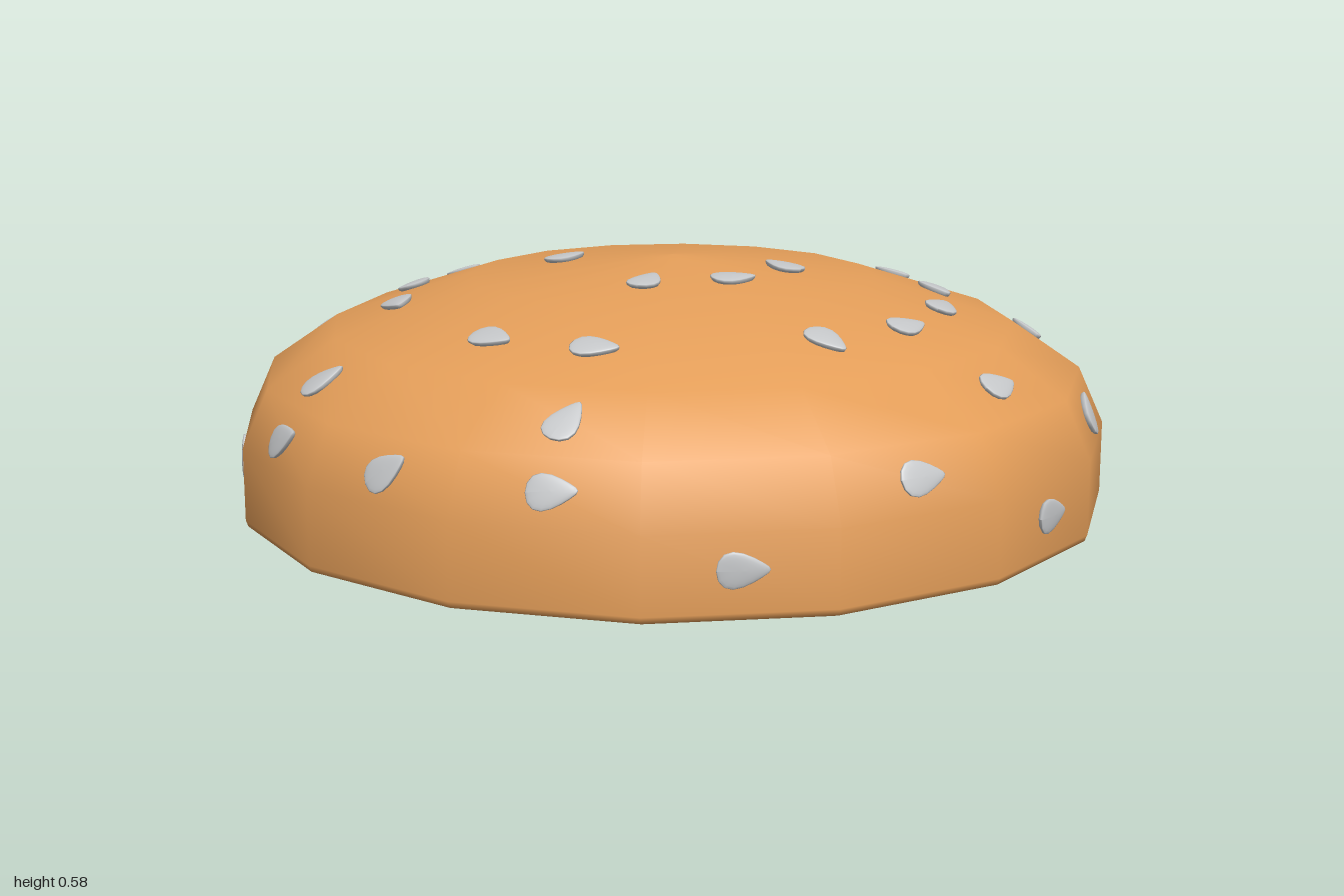
import * as THREE from 'three';

const bunMat = new THREE.MeshStandardMaterial({ color: 0xe49e59 });
bunMat.name = 'toasted bun';
const seedMat = new THREE.MeshStandardMaterial({ color: 0xc4c6c8 });
seedMat.name = 'sesame grey';

// Upper seeds: x, z, then the direction of the tip seen from above
const upperSeeds = [
  [-0.27, -0.82, 1, -0.35], [0.11, -0.885, -0.7, 0.9], [0.385, -0.775, 1, 0.7],
  [-0.565, -0.655, 1, -0.7], [-0.21, -0.615, 0.2, 1], [0.05, -0.64, 1, 0],
  [0.285, -0.565, 1, -0.5], [-0.415, -0.485, 1, -0.7], [-0.575, -0.275, -0.4, 1],
  [-0.165, -0.205, 1, -0.1], [-0.865, -0.06, 1, 0.6], [0.82, -0.275, -0.3, 1],
  [0.63, 0.05, 0, 1], [0.86, 0.06, 0, 1], [-0.6, 0.21, 0.3, 1],
  [-0.19, 0.18, 1, -0.7], [-0.01, 0.26, 1, 0.2], [0.18, 0.19, -0.2, -1],
  [0.565, 0.285, -0.2, 1], [0.77, 0.385, -0.3, 1], [-0.475, 0.42, 0.7, 0.8],
  [0.42, 0.47, 1, -0.8], [-0.64, 0.575, 1, -0.3], [-0.035, 0.63, 0.2, 1],
  [0.21, 0.6, 1, -0.2], [0.285, 0.81, 1, -0.3],
];

// Side seeds: x, z (azimuth only), y, then the tip's turn from sideways towards up
const sideSeeds = [
  [-0.05, 0.955, 0.255, 0], [0.33, 0.93, 0.115, 0], [-0.43, 0.88, 0.115, 0],
  [-0.72, 0.65, 0.255, 0.1], [0.64, 0.71, 0.25, 0.9], [-0.91, 0.32, 0.255, 0.7],
  [-0.965, -0.06, 0.25, 0.5], [-0.9, -0.43, 0.125, 1.9], [-0.63, -0.73, 0.25, 2.4],
  [0.43, -0.89, 0.115, 0.8],
];

// Sixteen-sided dome, turned so its corners sit slightly off the axes
function makeBun() {
  const profile = [
    [0, 0], [0.965, 0], [0.975, 0.001], [1.003, 0.011], [1.0086, 0.025], [1.0086, 0.19],
    [0.95, 0.32], [0.796, 0.425], [0.472, 0.53], [0.05, 0.574], [0, 0.577],
  ].map(([r, y]) => new THREE.Vector2(r, y));
  const bun = new THREE.Mesh(new THREE.LatheGeometry(profile, 16, 0.131), bunMat);
  bun.name = 'bunTop';
  return bun;
}

// Teardrop with a nearly flat top and an undercut belly: tip along +x, outward face along +y
function makeSeedGeometry() {
  const geo = new THREE.SphereGeometry(1, 16, 12);
  const p = geo.attributes.position;
  for (let i = 0; i < p.count; i++) {
    const x = p.getX(i), y = p.getY(i), z = p.getZ(i);
    const taper = 1 - 0.55 * x;
    p.setXYZ(i, 0.054 * x, (y > 0 ? 0.006 : 0.02) * y, 0.034 * z * taper);
  }
  geo.computeVertexNormals();
  return geo;
}

export function createModel() {
  const group = new THREE.Group();
  group.name = 'sesameBun';
  const bun = makeBun();
  group.add(bun);

  const seeds = new THREE.Group();
  seeds.name = 'sesameSeeds';
  group.add(seeds);
  const seedGeo = makeSeedGeometry();
  const up = new THREE.Vector3(0, 1, 0);
  const ray = new THREE.Raycaster();

  // Finds the crust along a ray and lays a seed flat on it
  function addSeed(from, dir, tipFor) {
    ray.set(from, dir.normalize());
    const hit = ray.intersectObject(bun)[0];
    if (!hit) return;
    const n = hit.face.normal.clone().normalize();
    const tip = tipFor(n).normalize();
    const side = new THREE.Vector3().crossVectors(tip, n);
    const seed = new THREE.Mesh(seedGeo, seedMat);
    seed.name = 'seed';
    seed.quaternion.setFromRotationMatrix(new THREE.Matrix4().makeBasis(tip, n, side));
    seed.position.copy(hit.point).addScaledVector(n, 0.009);
    seeds.add(seed);
  }

  for (const [x, z, dx, dz] of upperSeeds) {
    addSeed(new THREE.Vector3(x, 2, z), new THREE.Vector3(0, -1, 0),
      (n) => new THREE.Vector3(dx, -(n.x * dx + n.z * dz) / n.y, dz));
  }
  for (const [x, z, y, turn] of sideSeeds) {
    addSeed(new THREE.Vector3(3 * x, y, 3 * z), new THREE.Vector3(-x, 0, -z), (n) => {
      const across = new THREE.Vector3().crossVectors(up, n).normalize();
      const rise = new THREE.Vector3().crossVectors(n, across);
      return across.multiplyScalar(Math.cos(turn)).addScaledVector(rise, Math.sin(turn));
    });
  }
  return group;
}
